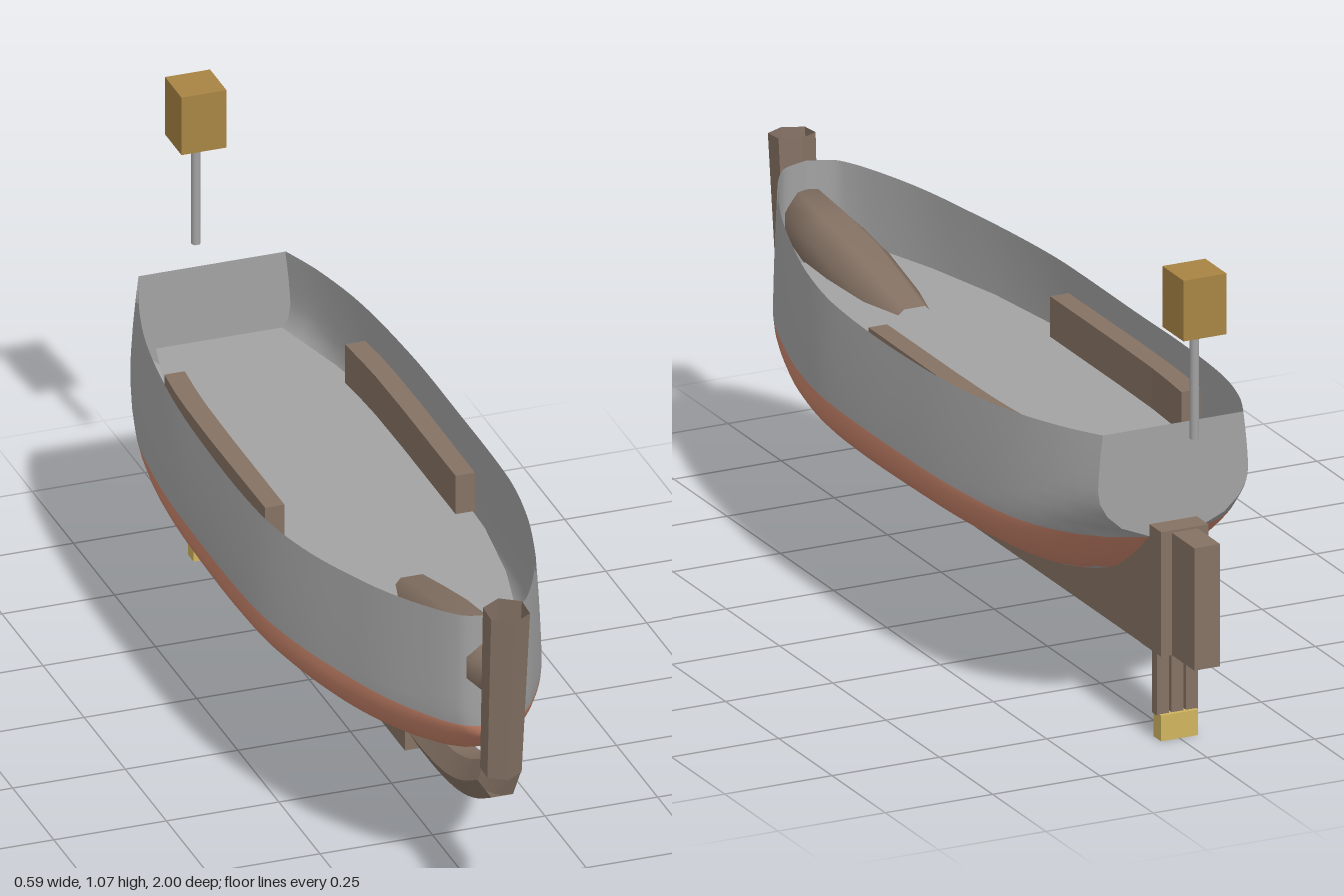
import * as THREE from 'three';

const mat = (name, color, side = THREE.FrontSide) => {
  const m = new THREE.MeshStandardMaterial({ color, side });
  m.name = name;
  return m;
};

// Smooth interpolation through [z, value] pairs
function curve(pts) {
  const slope = (a, b) => (b[1] - a[1]) / (b[0] - a[0]);
  const tan = pts.map((p, i) => slope(pts[Math.max(0, i - 1)], pts[Math.min(pts.length - 1, i + 1)]));
  return (z) => {
    let i = 0;
    while (i < pts.length - 2 && z > pts[i + 1][0]) i++;
    const h = pts[i + 1][0] - pts[i][0];
    const t = Math.min(1, Math.max(0, (z - pts[i][0]) / h));
    const t2 = t * t, t3 = t2 * t;
    return pts[i][1] * (2 * t3 - 3 * t2 + 1) + pts[i + 1][1] * (3 * t2 - 2 * t3)
      + h * (tan[i] * (t3 - 2 * t2 + t) + tan[i + 1] * (t3 - t2));
  };
}

const STERN = -0.84, BOW = 0.885;
const beam = curve([[-0.84, 0.175], [-0.75, 0.215], [-0.6, 0.258], [-0.4, 0.285], [-0.2, 0.295], [0.2, 0.292],
  [0.4, 0.262], [0.6, 0.205], [0.7, 0.167], [0.8, 0.115], [0.85, 0.08], [0.87, 0.055], [0.885, 0]]);
const sheer = curve([[-0.84, 0.69], [-0.4, 0.66], [0, 0.65], [0.4, 0.662], [0.885, 0.705]]);
const bottom = curve([[-0.84, 0.44], [-0.75, 0.37], [-0.65, 0.31], [-0.55, 0.285], [-0.3, 0.28], [0.4, 0.28],
  [0.55, 0.288], [0.7, 0.318], [0.8, 0.355], [0.885, 0.42]]);
const bilge = curve([[-0.84, 0.56], [-0.6, 0.46], [-0.3, 0.425], [0.5, 0.425], [0.885, 0.47]]);

function halfWidth(y, z) {
  const w = beam(z), yb = bottom(z), ym = bilge(z), yt = sheer(z);
  if (y < ym) return w * Math.sqrt(Math.max(0, 1 - Math.pow((ym - y) / (ym - yb), 1.8)));
  return w * (1 - 0.065 * Math.pow((y - ym) / (yt - ym), 1.5));
}

// Paint bands up the hull: top height, row count, material index (0 grey, 1 copper, 2 gold)
const bands = [[0.3, 6, 2], [0.312, 1, 1], [0.32, 1, 0], [0.445, 9, 1], [null, 8, 0]];

function sectionPoints(z) {
  const yb = bottom(z), pts = [[0, yb]];
  let y0 = yb;
  for (const [top, rows] of bands) {
    const y1 = top === null ? sheer(z) : Math.max(yb, top);
    for (let k = 1; k <= rows; k++) {
      const t = k / rows;
      const y = y0 + (y1 - y0) * (rows > 1 && top !== null ? Math.pow(t, 1.5) : t);
      pts.push([halfWidth(y, z), y]);
    }
    y0 = y1;
  }
  return pts;
}

function hullGeometry() {
  const N = 64, pos = [], index = [];
  let R = 0;
  for (let i = 0; i <= N; i++) {
    const z = STERN + (BOW - STERN) * Math.sin((i / N) * Math.PI / 2);
    const p = sectionPoints(z);
    R = p.length - 1;
    for (let j = -R; j <= R; j++) {
      const [x, y] = p[Math.abs(j)];
      pos.push(Math.sign(j) * x, y, z);
    }
  }
  const g = new THREE.BufferGeometry();
  const C = 2 * R + 1;
  let row = 0;
  for (const [, rows, m] of bands) {
    const start = index.length;
    for (let k = row; k < row + rows; k++) {
      for (const j of [R + k, R - k - 1]) {
        for (let i = 0; i < N; i++) {
          const a = i * C + j, b = a + 1, c = a + C, d = c + 1;
          index.push(a, b, d, a, d, c);
        }
      }
    }
    g.addGroup(start, index.length - start, m);
    row += rows;
  }
  g.setAttribute('position', new THREE.Float32BufferAttribute(pos, 3));
  g.setIndex(index);
  g.computeVertexNormals();
  return g;
}

const shapeOf = (pts) => new THREE.Shape(pts.map(([x, y]) => new THREE.Vector2(x, y)));

export function createModel() {
  const model = new THREE.Group();
  const grey = mat('hull grey', 0xa3a3a3, THREE.DoubleSide);
  const copper = mat('copper', 0xc9846a);
  const gold = mat('bottom gold', 0xb09c42);
  const wood = mat('brown wood', 0x857264, THREE.DoubleSide);
  const amber = mat('lantern amber', 0xa88444);
  const yellow = mat('weight yellow', 0xd0b45f);

  const add = (name, geo, m, x = 0, y = 0, z = 0) => {
    const mesh = new THREE.Mesh(geo, m);
    mesh.name = name;
    mesh.position.set(x, y, z);
    model.add(mesh);
    return mesh;
  };
  // Box given by its limits in y and z, centred on x
  const box = (name, m, w, y0, y1, z0, z1, x = 0) =>
    add(name, new THREE.BoxGeometry(w, y1 - y0, z1 - z0), m, x, (y0 + y1) / 2, (z0 + z1) / 2);
  // Aim a y-axis part along the line between two points in the centre plane
  const aim = (mesh, y0, z0, y1, z1) => {
    mesh.position.set(0, (y0 + y1) / 2, (z0 + z1) / 2);
    mesh.rotation.x = Math.atan2(z1 - z0, y1 - y0);
  };

  // Hull shell, with a grey lining just inside it
  const hull = hullGeometry();
  add('hull', hull, [grey, copper, gold]);
  const liningGeo = hull.clone();
  liningGeo.clearGroups();
  add('hullLining', liningGeo, grey, 0, 0.005, 0).scale.set(0.985, 0.99, 0.995);

  // Flat transom closing the stern
  const half = sectionPoints(STERN);
  const mirrored = half.slice(1).reverse().map(([x, y]) => [-x, y]);
  add('transom', new THREE.ShapeGeometry(shapeOf([...half, ...mirrored])), grey, 0, 0, STERN);

  // Deck plate, standing clear of the sides
  const edge = [[0.14, 0.8], [0.188, 0.6], [0.218, 0.4], [0.23, 0.2], [0.232, 0], [0.226, -0.2],
    [0.2, -0.4], [0.153, -0.6], [0.105, -0.75]];
  const deck = new THREE.ShapeGeometry(shapeOf([...edge, ...edge.slice().reverse().map(([x, y]) => [-x, y])]));
  add('deck', deck.rotateX(-Math.PI / 2), grey, 0, 0.535, 0);

  // Side lockers following the deck edge
  for (const s of [-1, 1]) {
    const plan = [[0.19, -0.12], [0.233, -0.12], [0.235, 0.2], [0.233, 0.36], [0.23, 0.44], [0.223, 0.52],
      [0.178, 0.52], [0.184, 0.44], [0.188, 0.36], [0.19, 0.2]];
    const g = new THREE.ExtrudeGeometry(shapeOf(plan.map(([x, y]) => [s * x, y])), { depth: 0.09, bevelEnabled: false });
    add(s > 0 ? 'leftLocker' : 'rightLocker', g.rotateX(-Math.PI / 2), wood, 0, 0.535, 0);
  }

  // Keel with the deadwood sweeping up to the stern
  const keel = new THREE.ExtrudeGeometry(shapeOf([[0.48, 0.198], [0.48, 0.285], [-0.55, 0.29], [-0.63, 0.31],
    [-0.7, 0.345], [-0.76, 0.39], [-0.81, 0.44], [-0.84, 0.47], [-0.84, 0.198]]), { depth: 0.108, bevelEnabled: false });
  add('keel', keel.rotateY(-Math.PI / 2).translate(0.054, 0, 0), wood);
  box('sternPost', wood, 0.11, 0.198, 0.475, -0.895, -0.8);
  box('rudder', wood, 0.06, 0.198, 0.47, -1, -0.895);

  // Six-sided open stem post and the curved forefoot below it
  const stem = add('stemPost', new THREE.CylinderGeometry(0.05, 0.044, 0.392, 6, 1, true).toNonIndexed(), wood);
  stem.geometry.computeVertexNormals();
  aim(stem, 0.357, 0.916, 0.745, 0.95);
  const foot = new THREE.CatmullRomCurve3([[0.335, 0.905], [0.292, 0.82], [0.262, 0.73], [0.246, 0.62], [0.243, 0.45]]
    .map(([y, z]) => new THREE.Vector3(0, y, z)));
  const footGeo = new THREE.TubeGeometry(foot, 16, 0.048, 6).toNonIndexed();
  footGeo.computeVertexNormals();
  add('forefoot', footGeo, wood);

  // Swelling bowsprit heel, rising from the deck through the bow
  const profile = [[0.064, -0.26], [0.072, -0.13], [0.078, 0], [0.073, 0.12], [0.061, 0.26], [0, 0.26]];
  const spar = add('bowSpar', new THREE.LatheGeometry(profile.map(([r, y]) => new THREE.Vector2(r, y)), 8, Math.PI / 8), wood);
  aim(spar, 0.49, 0.39, 0.587, 0.89);

  // Lantern on its pole above the stern
  add('lanternPole', new THREE.CylinderGeometry(0.01, 0.01, 0.24, 10), grey, 0, 0.81, -0.94);
  box('lantern', amber, 0.1, 0.93, 1.065, -0.99, -0.89);

  // Three hanging bars with a weight beneath the stern
  for (const i of [-1, 0, 1]) box('hangingBar', wood, 0.028, 0.055, 0.2, -0.861, -0.838, i * 0.034);
  box('weight', yellow, 0.086, 0, 0.057, -0.87, -0.835);

  return model;
}
